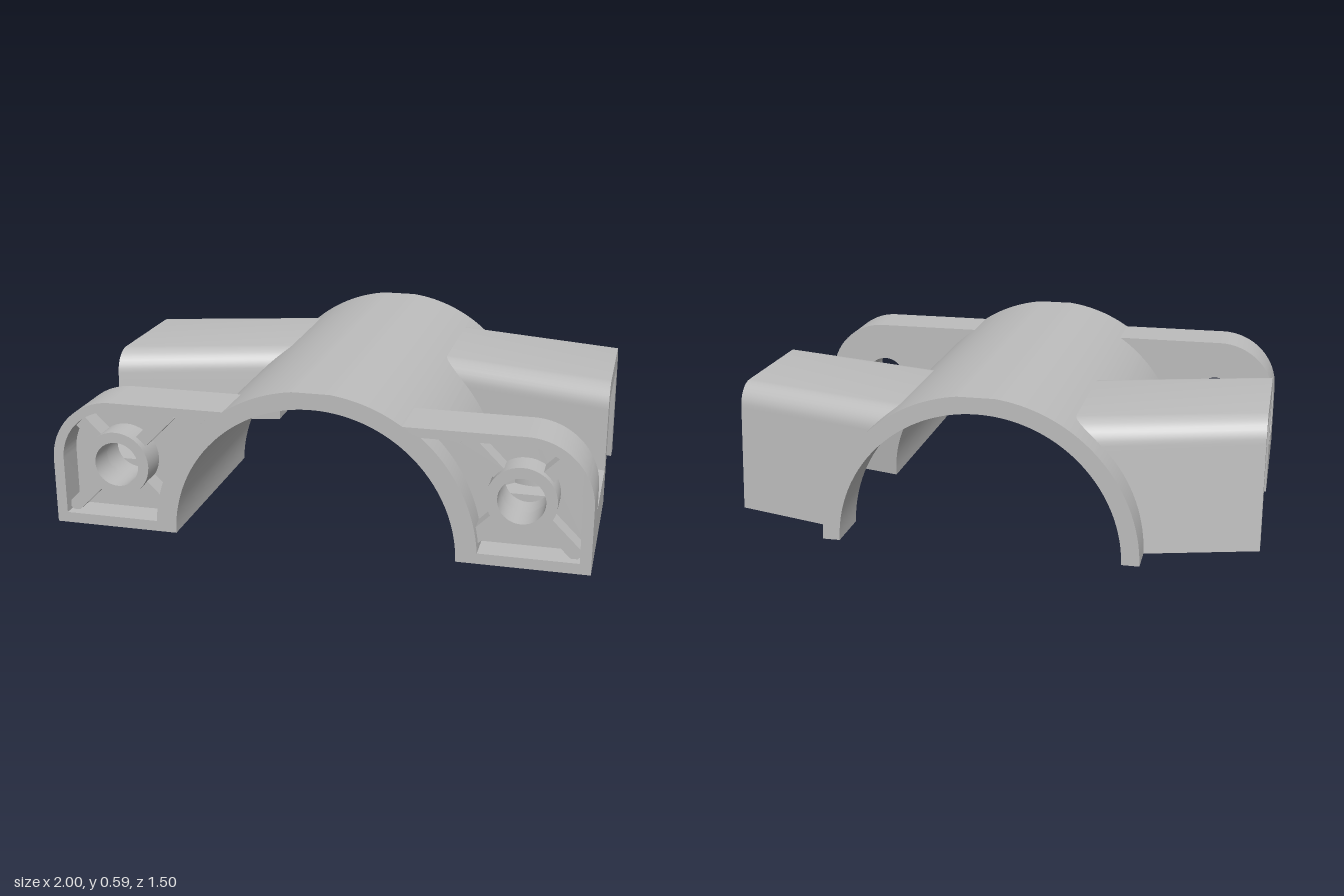
import * as THREE from 'three';
import { toCreasedNormals } from 'three/addons/utils/BufferGeometryUtils.js';

const RI = 0.525, RO = 0.59, SLOPE = 0.268, TUNNEL = 0.415;
const shear = (x) => SLOPE * (x - 1);

// Signed volume, used to keep every lofted solid facing outwards
function volume(pts) {
  let v = 0;
  for (let i = 0; i < pts.length; i += 3) v += pts[i].dot(pts[i + 1].clone().cross(pts[i + 2]));
  return v;
}

// Solid through a row of four-cornered cross-sections, capped at both ends
function loft(sections) {
  const pts = [];
  const quad = (a, b, c, d) => pts.push(a, b, c, a, c, d);
  for (let i = 0; i + 1 < sections.length; i++) {
    const s = sections[i], n = sections[i + 1];
    for (let k = 0; k < 4; k++) quad(s[k], s[(k + 1) % 4], n[(k + 1) % 4], n[k]);
  }
  const [a, b, c, d] = sections[0], [e, f, g, h] = sections[sections.length - 1];
  quad(d, c, b, a);
  quad(e, f, g, h);
  if (volume(pts) < 0) pts.reverse();
  return new THREE.BufferGeometry().setFromPoints(pts);
}

// Copy across x = 0 with the winding put right
function mirror(geo) {
  const p = geo.getAttribute('position'), pts = [];
  for (let i = 0; i < p.count; i += 3) {
    for (const k of [0, 2, 1]) pts.push(new THREE.Vector3(-p.getX(i + k), p.getY(i + k), p.getZ(i + k)));
  }
  return new THREE.BufferGeometry().setFromPoints(pts);
}

const polygon = (pts) => new THREE.Shape(pts.map(([x, y]) => new THREE.Vector2(x, y)));
const circle = (x, y, r) => new THREE.Path().absarc(x, y, r, 0, Math.PI * 2, true);

function extrude(shape, holes, from, to) {
  shape.holes = holes;
  const g = new THREE.ExtrudeGeometry(shape, { depth: to - from, bevelEnabled: false, curveSegments: 20 });
  return g.translate(0, 0, from);
}

// Turn an extrusion so that shape y becomes z, and depth runs down from y = 0
const lay = (geo) => geo.rotateX(Math.PI / 2);

// Ring with a bolt hole
function ring(x, y, from, to) {
  return extrude(new THREE.Shape().absarc(x, y, 0.125, 0, Math.PI * 2, false), [circle(x, y, 0.085)], from, to);
}

// Radial rib leaving the ring at an angle
function rib(x, y, angle, length, from, to) {
  const g = new THREE.BoxGeometry(length - 0.11, 0.05, to - from);
  return g.translate((length + 0.11) / 2, 0, (from + to) / 2).rotateZ(angle).translate(x, y, 0);
}

// Flange outline or pocket: rounded outer corner, arc following the shell
function flangeShape(r, x0, x1, y0, y1, corner) {
  const s = new THREE.Shape();
  s.moveTo(Math.sqrt(r * r - y0 * y0), y0);
  s.lineTo(x1, y0);
  s.lineTo(x1, y1 - corner);
  s.absarc(x1 - corner, y1 - corner, corner, 0, Math.PI / 2, false);
  s.lineTo(x0, y1);
  s.absarc(0, 0, r, Math.asin(y1 / r), Math.asin(y0 / r), true);
  return s;
}

export function createModel() {
  const model = new THREE.Group();
  const grey = new THREE.MeshStandardMaterial({ color: 0xbdbdbd });
  grey.name = 'plain grey';

  const add = (name, geo) => {
    const mesh = new THREE.Mesh(toCreasedNormals(geo, 0.5), grey);
    mesh.name = name;
    model.add(mesh);
  };
  const addPair = (name, geo) => {
    const g = geo.index ? geo.toNonIndexed() : geo;
    add(name + 'Left', g);
    add(name + 'Right', mirror(g));
  };

  // Half-round shell
  const at = (r, angle, z) => new THREE.Vector3(r * Math.cos(angle), Math.min(r * Math.sin(angle), 0.586), z);
  const cutI = Math.asin(TUNNEL / RI), cutO = Math.asin(TUNNEL / RO);
  const crown = [];
  for (let i = 0; i <= 40; i++) {
    const t = i / 40;
    const a = cutI + (Math.PI - 2 * cutI) * t, b = cutO + (Math.PI - 2 * cutO) * t;
    crown.push([at(RI, a, -0.75), at(RO, b, -0.75), at(RO, b, 0.75), at(RI, a, 0.75)]);
  }
  add('shellCrown', loft(crown));

  // Lower shell walls either side of the slanted tunnel opening
  const front = (p) => 0.08 - 0.1 * p.y + shear(p.x);
  const back = (p) => -0.44 + 0.09 * p.y + shear(p.x);
  for (const [name, edge, end] of [['shellFront', front, 0.75], ['shellBack', back, -0.75]]) {
    const wall = [];
    for (let i = 0; i <= 16; i++) {
      const a = cutI * i / 16, b = cutO * i / 16;
      const p = at(RI, a, 0), q = at(RO, b, 0);
      p.z = edge(p);
      q.z = edge(q);
      wall.push([p, q, at(RO, b, end), at(RI, a, end)]);
    }
    addPair(name, loft(wall));
  }

  // Slanted hollow arms: outer and inner (z, y) points in pairs
  const outer = [], inner = [];
  for (let i = 0; i <= 12; i++) {
    const y = 0.4 * i / 12;
    outer.push([0.165 - 0.085 * y, y]);
    inner.push([0.08 - 0.1 * y, y]);
  }
  const bend = (list, cz, cy, rz, ry, a0, a1) => {
    for (let i = 0; i <= 8; i++) {
      const a = a0 + (a1 - a0) * i / 8;
      list.push([cz + rz * Math.cos(a), cy + ry * Math.sin(a)]);
    }
  };
  bend(outer, 0.041, 0.4, 0.09, 0.09, 0, Math.PI / 2);
  bend(inner, 0.025, 0.4, 0.015, 0.015, 0, Math.PI / 2);
  bend(outer, -0.401, 0.4, 0.09, 0.09, Math.PI / 2, Math.PI);
  bend(inner, -0.389, 0.4, 0.015, 0.015, Math.PI / 2, Math.PI);
  for (let i = 12; i >= 0; i--) {
    const y = 0.4 * i / 12;
    outer.push([-0.525 + 0.085 * y, y]);
    inner.push([-0.44 + 0.09 * y, y]);
  }
  const armPoint = ([z, y], x) => new THREE.Vector3(x, y, z + shear(x));
  const root = ([, y]) => Math.sqrt(0.575 * 0.575 - y * y);
  addPair('arm', loft(outer.map((o, i) => [
    armPoint(o, 1), armPoint(o, root(o)), armPoint(inner[i], root(inner[i])), armPoint(inner[i], 1),
  ])));

  // Front flanges: pocketed face, back wall, boss and cross ribs
  const cx = 0.75, cy = 0.25, q = Math.PI / 4;
  const outline = () => flangeShape(0.56, 0.271, 1, 0, 0.49, 0.24);
  addPair('flangeRim', extrude(outline(), [flangeShape(0.602, 0.394, 0.96, 0.04, 0.455, 0.2)], 0.64, 0.75));
  addPair('flangeWall', extrude(outline(), [circle(cx, cy, 0.085)], 0.54, 0.64));
  addPair('flangeBoss', ring(cx, cy, 0.63, 0.745));
  [0.23, 0.29, 0.27, 0.29].forEach((length, i) => {
    addPair('flangeRib' + i, rib(cx, cy, q + i * 2 * q, length, 0.63, 0.715));
  });

  // Base blocks: open pocket below, roof with bolt hole and slot
  const plan = () => polygon([[0.55, 0.12 + shear(0.55)], [1, 0.12], [1, 0.56], [0.55, 0.56]]);
  const pocket = polygon([[0.6, 0.17 + shear(0.6)], [0.96, 0.17 + shear(0.96)], [0.96, 0.54], [0.6, 0.54]]);
  const slot = polygon([[0.65, 0.46], [0.86, 0.46], [0.86, 0.54], [0.65, 0.54]]);
  addPair('baseRim', lay(extrude(plan(), [pocket], -0.12, 0)));
  addPair('baseRoof', lay(extrude(plan(), [circle(cx, cy, 0.085), slot], -0.16, -0.12)));
  addPair('baseBoss', lay(ring(cx, cy, -0.21, -0.015)));
  // The outer front rib stays below the roof
  [0.27, 0.29, 0.29, 0.22].forEach((length, i) => {
    addPair('baseRib' + i, lay(rib(cx, cy, q + i * 2 * q, length, i === 0 ? -0.13 : -0.21, -0.02)));
  });

  return model;
}
